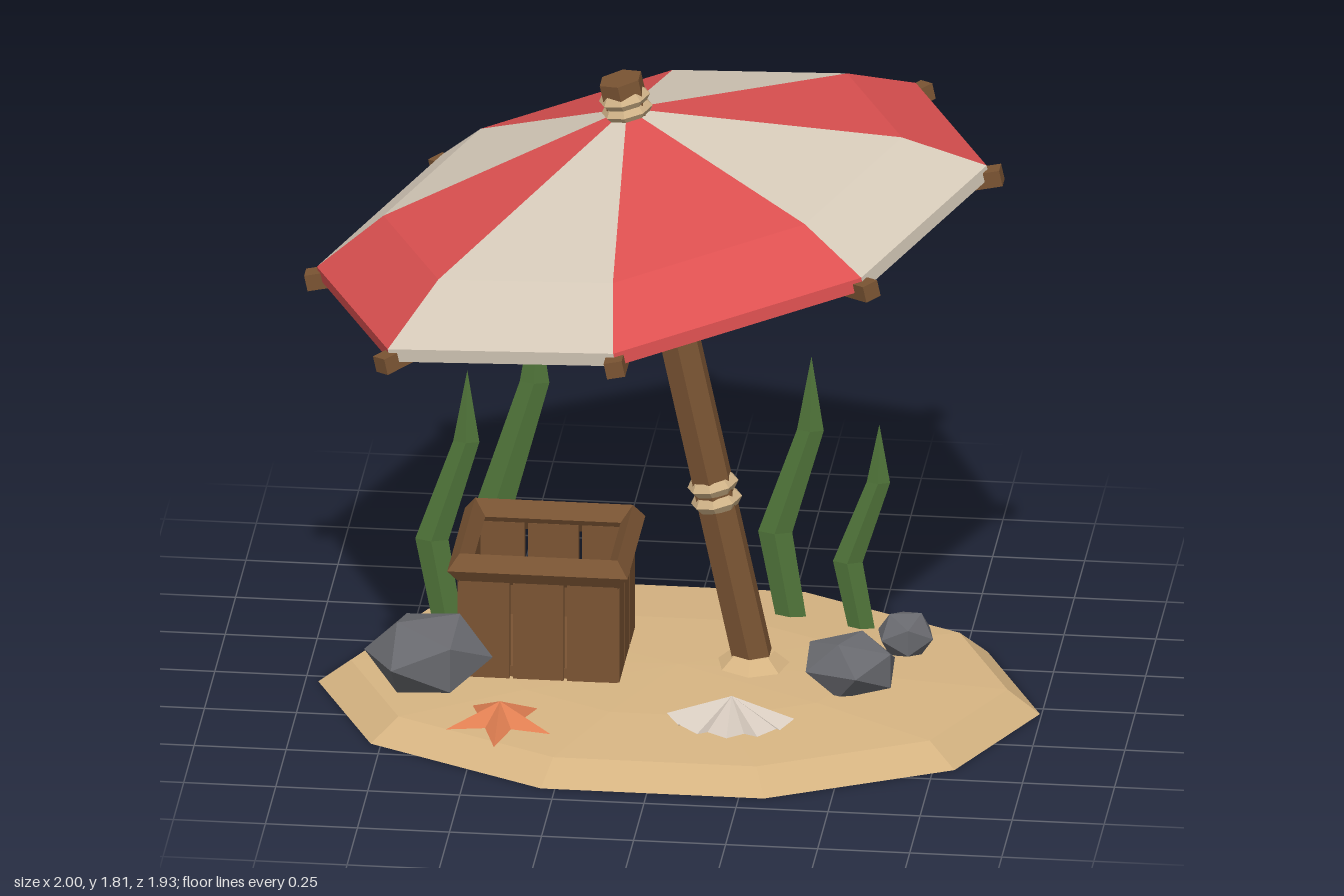
import * as THREE from 'three';
import { mergeGeometries } from 'three/addons/utils/BufferGeometryUtils.js';

const mat = (name, color, side = THREE.FrontSide) => {
  const m = new THREE.MeshStandardMaterial({ color, side });
  m.name = name;
  return m;
};

// Faceted copy of a geometry
function flat(geo) {
  const g = geo.index ? geo.toNonIndexed() : geo;
  g.computeVertexNormals();
  return g;
}

function add(parent, name, geo, material, x = 0, y = 0, z = 0) {
  const mesh = new THREE.Mesh(flat(geo), material);
  mesh.name = name;
  mesh.position.set(x, y, z);
  parent.add(mesh);
  return mesh;
}

// Skin over rings of [x, y, z] points, listed from bottom to top
function loft(rings, closed = true) {
  const pos = [];
  for (let k = 0; k + 1 < rings.length; k++) {
    const a = rings[k], b = rings[k + 1], n = a.length;
    for (let i = 0; i < (closed ? n : n - 1); i++) {
      const j = (i + 1) % n;
      pos.push(...a[i], ...b[i], ...a[j], ...b[i], ...b[j], ...a[j]);
    }
  }
  const g = new THREE.BufferGeometry();
  g.setAttribute('position', new THREE.Float32BufferAttribute(pos, 3));
  return g;
}

function ring(n, rx, rz, y, cx = 0, cz = 0) {
  return Array.from({ length: n }, (_, i) => {
    const a = (i / n) * Math.PI * 2;
    return [cx + Math.cos(a) * rx, y, cz + Math.sin(a) * rz];
  });
}

export function createModel() {
  const model = new THREE.Group();
  model.name = 'beachUmbrellaScene';

  const sand = mat('sand', 0xd6b482);
  const wood = mat('wood', 0x7a5433);
  const red = mat('redCloth', 0xdc5050, THREE.DoubleSide);
  const cream = mat('creamCloth', 0xd8ccbb, THREE.DoubleSide);
  const rope = mat('rope', 0xcfb287);
  const stone = mat('stone', 0x68696e);
  const weed = mat('seaweed', 0x4f7339);
  const orange = mat('starfishOrange', 0xe07f52, THREE.DoubleSide);
  const shellMat = mat('shell', 0xd6cabe, THREE.DoubleSide);

  // Sand island with bevelled edge and a mound round the pole
  add(model, 'sandIsland', loft([
    [0, 0], [1, 0], [0.91, 0.068], [0.5, 0.092], [0, 0.1],
  ].map(([s, y]) => ring(10, 0.98 * s, 0.68 * s, y, 0.015, 0.035))), sand);
  add(model, 'sandMound', new THREE.CylinderGeometry(0.06, 0.13, 0.06, 7), sand, 0.21, 0.1, 0);

  // Tilted umbrella
  const umbrella = new THREE.Group();
  umbrella.name = 'umbrella';
  umbrella.position.set(0.214, 0.1, 0);
  umbrella.rotation.z = 0.21;
  model.add(umbrella);
  add(umbrella, 'pole', new THREE.CylinderGeometry(0.058, 0.058, 1.74, 6), wood, 0, 0.86, 0);
  add(umbrella, 'poleCap', new THREE.CylinderGeometry(0.062, 0.062, 0.06, 6), wood, 0, 1.71, 0);
  for (const s of [0.485, 0.532, 1.335, 1.65, 1.685]) {
    const g = new THREE.TorusGeometry(0.049, 0.022, 5, 8);
    g.rotateX(Math.PI / 2);
    add(umbrella, 'ropeRing', g, rope, 0, s, 0);
  }

  // Canopy: eight alternating wedges, each with a short valance
  const canopy = new THREE.Group();
  canopy.name = 'canopy';
  canopy.position.y = 1.288;
  umbrella.add(canopy);
  const profile = [[0.93, 0.005], [0.93, 0.042], [0.72, 0.16], [0.03, 0.355]];
  const wedges = [[], []];
  for (let i = 0; i < 8; i++) {
    const a = (i * Math.PI) / 4;
    wedges[i % 2].push(loft(profile.map(([r, y]) =>
      [a, a + Math.PI / 4].map((t) => [Math.cos(t) * r, y, Math.sin(t) * r])), false));

    const rib = new THREE.BoxGeometry(0.965, 0.046, 0.05);
    rib.translate(0.4825, 0.008, 0);
    rib.rotateY(a);
    add(canopy, 'rib', rib, wood);
  }
  add(canopy, 'creamPanels', mergeGeometries(wedges[0]), cream);
  add(canopy, 'redPanels', mergeGeometries(wedges[1]), red);

  // Open plank crate
  const crate = new THREE.Group();
  crate.name = 'crate';
  crate.position.set(-0.352, 0, -0.02);
  model.add(crate);
  const W = 0.44, D = 0.385, H = 0.3, T = 0.022;
  for (const side of [-1, 1]) {
    for (let i = -1; i <= 1; i++) {
      add(crate, 'plank', new THREE.BoxGeometry(W / 3 - 0.01, H, T), wood,
        (i * W) / 3, 0.095 + H / 2, side * (D - T) / 2);
      add(crate, 'plank', new THREE.BoxGeometry(T, H, D / 3 - 0.01), wood,
        side * (W - T) / 2, 0.095 + H / 2, (i * D) / 3);
    }
  }
  add(crate, 'crateFloor', new THREE.BoxGeometry(W - 0.03, 0.03, D - 0.03), wood, 0, 0.11, 0);
  const rim = new THREE.TorusGeometry(0.3, 0.043, 4, 4);
  rim.rotateX(Math.PI / 2);
  rim.rotateY(Math.PI / 4);
  rim.scale(1.01, 1, 0.886);
  add(crate, 'crateRim', rim, wood, 0, 0.412, 0);

  // Rocks: position, then half sizes
  for (const [x, y, z, rx, ry, rz, turn] of [
    [-0.645, 0.18, 0.22, 0.16, 0.11, 0.14, 0.5],
    [0.49, 0.16, 0.125, 0.13, 0.085, 0.095, 1.2],
    [0.61, 0.138, -0.145, 0.075, 0.065, 0.07, 0.2],
  ]) {
    const g = new THREE.IcosahedronGeometry(1.1, 0);
    g.rotateY(turn);
    g.scale(rx, ry, rz);
    add(model, 'rock', g, stone, x, y, z);
  }

  // Seaweed: kinked blades with a diamond section, placed by their tips
  for (const [x, y, z] of [
    [-0.59, 0.82, -0.23], [-0.42, 0.99, -0.37], [0.33, 0.85, -0.36], [0.52, 0.68, -0.31],
  ]) {
    const h = y - 0.07, k = 0.4 + 0.75 * h;
    const sections = [[0, -0.055, 0.042], [0.33, -0.1, 0.047], [0.72, -0.003, 0.037], [1, 0, 0]];
    add(model, 'seaweed', loft(sections.map(([t, dx, w]) =>
      ring(4, w * k, w * 0.36, 0.07 + t * h, x + dx * k, z))), weed);
  }

  // Starfish: raised centre with five arms
  const star = Array.from({ length: 10 }, (_, i) => {
    const a = (i / 10) * Math.PI * 2 + Math.PI / 2, r = i % 2 ? 0.06 : 0.15;
    return [Math.cos(a) * r, i % 2 ? 0.015 : 0.005, Math.sin(a) * r];
  });
  add(model, 'starfish', loft([star, star.map(() => [0, 0.075, 0])]), orange, -0.42, 0.092, 0.49);

  // Scallop shell: ridged fan opening to the front
  const fan = Array.from({ length: 13 }, (_, i) => {
    const a = -0.15 + (i / 12) * (Math.PI + 0.3), r = i % 2 ? 1 : 0.86;
    return [Math.cos(a) * r * 0.175, i % 2 ? 0.022 : 0, Math.sin(a) * r * 0.14];
  });
  add(model, 'shell', loft([fan, fan.map(() => [0, 0.068, -0.01])]), shellMat, 0.195, 0.09, 0.375);

  return model;
}
